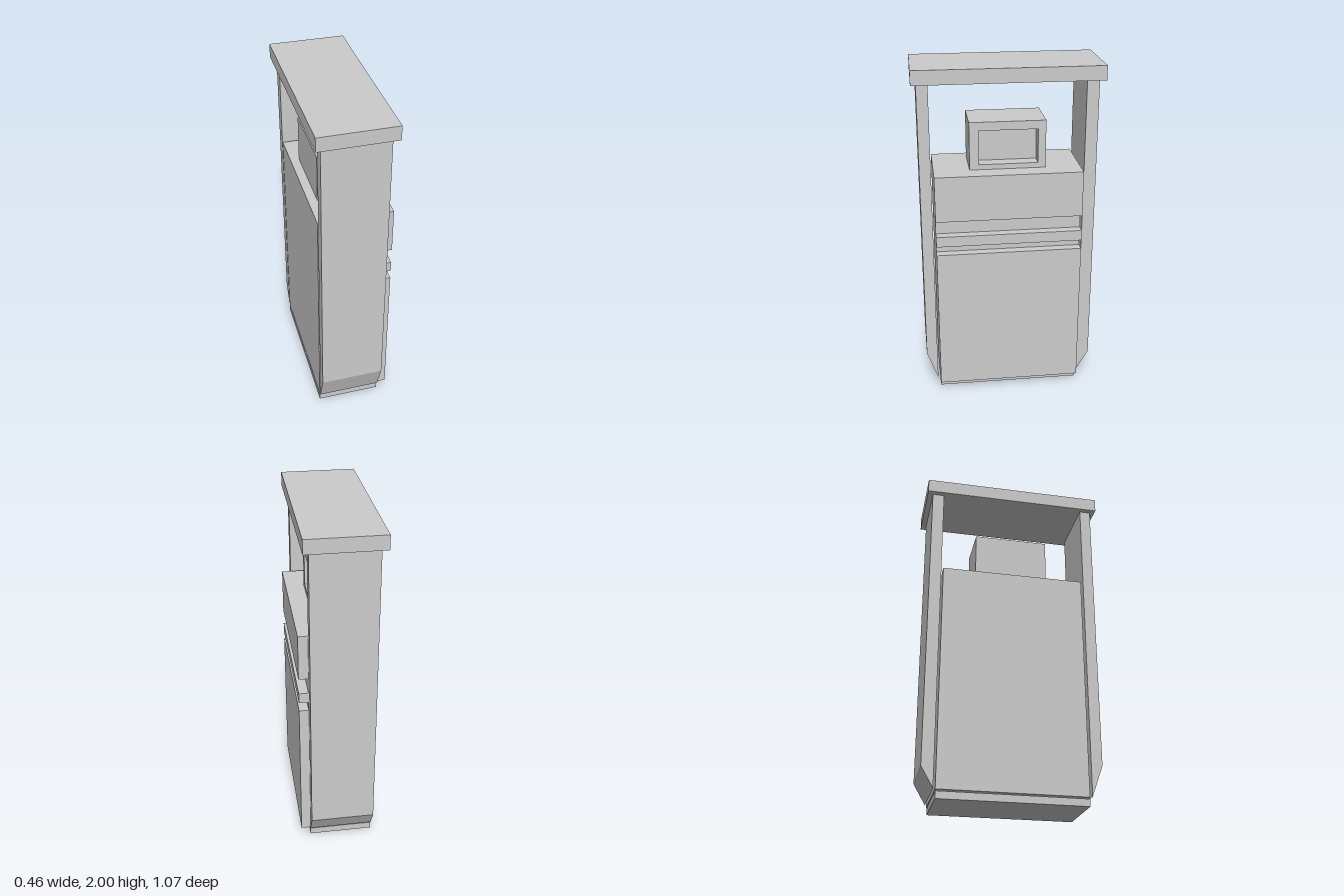
import * as THREE from 'three';

const material = new THREE.MeshStandardMaterial({ color: 0xcccccc, flatShading: true });

export function createModel() {
  const model = new THREE.Group();
  model.name = 'fuelPump';

  const add = (name, geometry) => {
    const mesh = new THREE.Mesh(geometry, material);
    mesh.name = name;
    model.add(mesh);
  };

  // Box given by its limits on each axis
  const addBox = (name, [x0, x1], [y0, y1], [z0, z1]) => {
    const geometry = new THREE.BoxGeometry(x1 - x0, y1 - y0, z1 - z0);
    geometry.translate((x0 + x1) / 2, (y0 + y1) / 2, (z0 + z1) / 2);
    add(name, geometry);
  };

  // Extrudes a (z, y) outline along x
  const addProfile = (name, shape, [x0, x1]) => {
    const geometry = new THREE.ExtrudeGeometry(shape, { depth: x1 - x0, bevelEnabled: false });
    geometry.rotateY(-Math.PI / 2).translate(x1, 0, 0);
    add(name, geometry);
  };
  const outline = (points) => new THREE.Shape(points.map(([z, y]) => new THREE.Vector2(z, y)));
  const rect = (z0, z1, y0, y1) => [[z0, y0], [z1, y0], [z1, y1], [z0, y1]];

  const depth = [-0.2, 0.175];
  const width = [-0.423, 0.428];

  // Plinth, cabinet and canopy
  addBox('plinth', depth, [0, 0.042], width);
  addBox('cabinet', depth, [0.052, 1.4], width);
  addBox('canopy', [-0.232, 0.208], [1.918, 2], [-0.537, 0.537]);

  // Raised panels on the service side
  const panels = { lowerPanel: [0.052, 0.922], trimBar: [0.975, 1.037], upperPanel: [1.13, 1.4] };
  for (const [name, height] of Object.entries(panels)) addBox(name, [0.175, 0.23], height, width);

  // Side pillars with outer feet cut at an angle
  addProfile('frontPillar', outline([[0.443, 0.055], [0.508, 0.235], [0.508, 1.918], [0.443, 1.918]]), depth);
  addProfile('backPillar', outline([[-0.435, 0.055], [-0.435, 1.918], [-0.505, 1.918], [-0.505, 0.175]]), depth);

  // Display housing: solid rear block and a frame around the recessed screen
  const frame = outline(rect(-0.22, 0.22, 1.4, 1.68));
  frame.holes.push(outline(rect(-0.175, 0.165, 1.43, 1.63)));
  addProfile('displayFrame', frame, [0.04, 0.12]);
  addBox('displayHousing', [-0.148, 0.04], [1.4, 1.68], [-0.22, 0.22]);

  return model;
}
